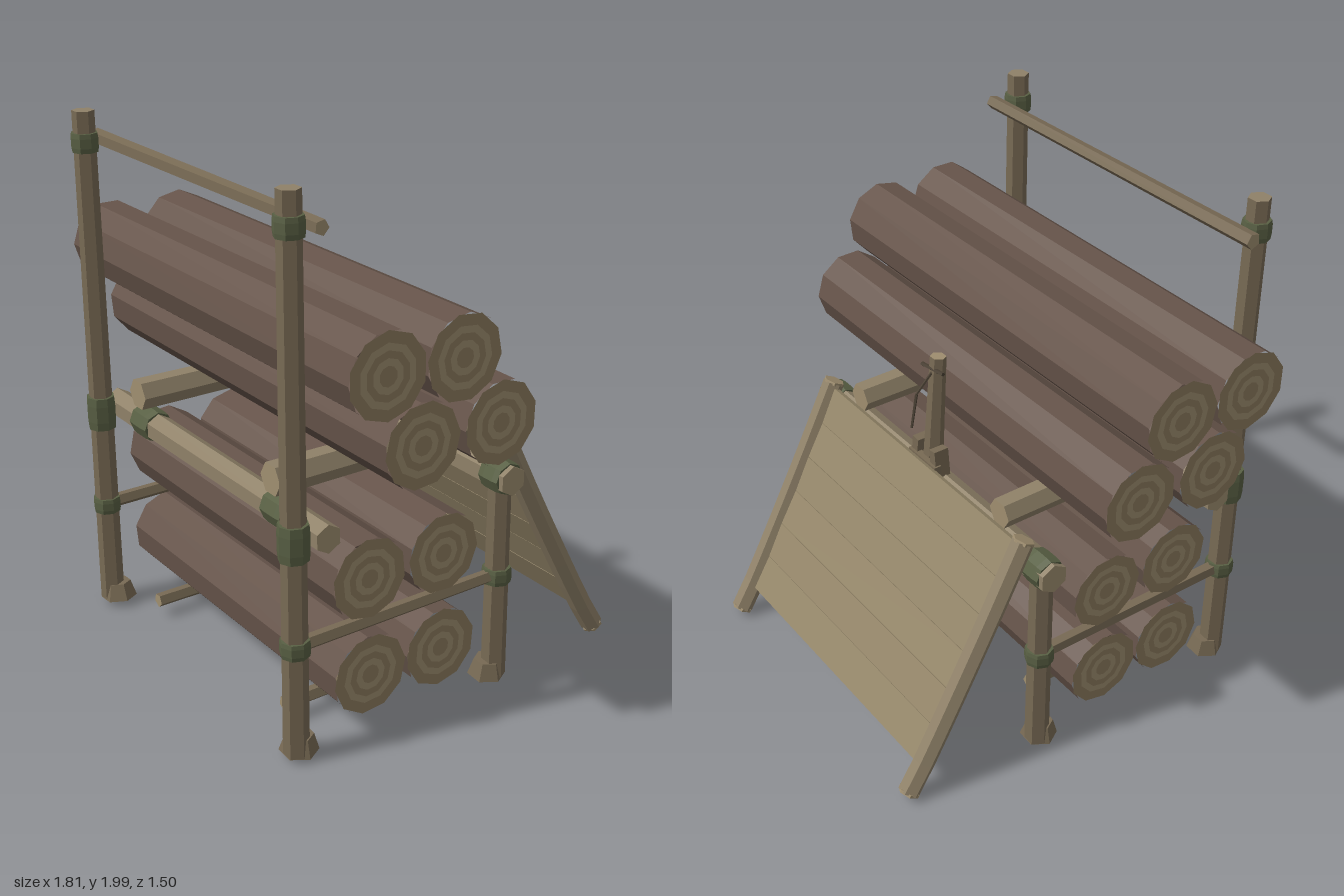
import * as THREE from 'three';

const mat = (color, side = THREE.FrontSide) => new THREE.MeshStandardMaterial({ color, flatShading: true, side });
const BARK = mat(0x66544a), POLE = mat(0x786a54), PALE = mat(0x8f8168), END = mat(0xa08f70);
const RING = mat(0x8e7d60), LASH = mat(0x596044), PLANK = mat(0x948669), DARK = mat(0x4a4033);
const UP = new THREE.Vector3(0, 1, 0);

export function createModel() {
  const model = new THREE.Group();

  const add = (name, geometry, material, parent = model) => {
    const mesh = new THREE.Mesh(geometry, material);
    mesh.name = name;
    parent.add(mesh);
    return mesh;
  };

  // faceted pole from point a to point b
  const rod = (name, a, b, r0, r1, sides, side, end = side, turn = Math.PI / 6) => {
    const A = new THREE.Vector3(...a), B = new THREE.Vector3(...b);
    const dir = B.clone().sub(A);
    const geometry = new THREE.CylinderGeometry(r1, r0, dir.length(), sides, 1, false, turn);
    const mesh = add(name, geometry, [side, end, end]);
    mesh.position.copy(A).add(B).multiplyScalar(0.5);
    mesh.quaternion.setFromUnitVectors(UP, dir.normalize());
    return mesh;
  };

  // bulging rope wrap centred on a point, along axis 'x' or 'y'
  const lashing = (name, x, y, z, radius, height, axis = 'y') => {
    const h = height / 2;
    const pts = [[radius * 0.75, -h], [radius * 0.95, -h], [radius, -h * 0.5], [radius, h * 0.5], [radius * 0.95, h], [radius * 0.75, h]];
    const mesh = add(name, new THREE.LatheGeometry(pts.map(p => new THREE.Vector2(...p)), 8), LASH);
    mesh.position.set(x, y, z);
    if (axis === 'x') mesh.rotation.z = Math.PI / 2;
  };

  // log lying along x, with growth rings on both ends
  const log = (name, y, z, half, turn) => {
    const group = new THREE.Group();
    group.name = name;
    group.position.set(0, y, z);
    group.rotation.x = turn;
    const R = 0.15, sides = 10;
    const bark = add('bark', new THREE.CylinderGeometry(R, R, half * 2, sides, 1, true), BARK, group);
    bark.rotation.z = Math.PI / 2;
    const radii = [0, 0.035, 0.06, 0.085, 0.11, R];
    for (const s of [1, -1]) {
      for (let i = 0; i < 5; i++) {
        const ring = add('logEndRing', new THREE.RingGeometry(radii[i], radii[i + 1], sides, 1, Math.PI / 2), i % 2 ? END : RING, group);
        ring.rotation.y = s * Math.PI / 2;
        ring.position.x = s * half;
      }
    }
    model.add(group);
  };

  // stacked logs: two shelves below, a pile on the deck
  [[1.435, 0.495], [1.43, 0.195], [1.17, 0.355], [1.17, 0.035]].forEach(([y, z], i) => log('deckLog', y, z, 0.905, i * 0.2));
  [[0.625, 0.41], [0.625, 0.095], [0.255, 0.405], [0.255, 0.1]].forEach(([y, z], i) => log('shelfLog', y, z, 0.7, 0.1 + i * 0.15));

  for (const s of [1, -1]) {
    const x = s * 0.665;
    // upright posts and their flared feet
    rod('frontPost', [x, 0.03, 0.69], [x, 2, 0.69], 0.046, 0.041, 6, POLE, PALE);
    rod('rearPost', [x, 0.03, -0.18], [x, 0.83, -0.18], 0.046, 0.042, 6, POLE, PALE);
    for (const z of [0.67, -0.16]) rod('postFoot', [s * 0.65, 0.03, z], [s * 0.655, 0.095, z], 0.07, 0.05, 6, POLE);

    // side rail, ground runner and deck bearer
    rod('sideRail', [x, 0.445, 0.7], [x, 0.445, -0.2], 0.028, 0.026, 5, POLE);
    rod('groundRunner', [s * 0.45, 0.075, 0.6], [s * 0.45, 0.075, -0.06], 0.028, 0.028, 5, POLE, END);
    rod('deckBearer', [s * 0.455, 0.96, 0.64], [s * 0.455, 0.955, -0.21], 0.06, 0.056, 6, PALE, END);

    // rope lashings
    lashing('frontBeamLashing', x, 0.835, 0.69, 0.056, 0.13);
    lashing('topRailLashing', x, 1.885, 0.69, 0.052, 0.07);
    lashing('frontRailLashing', x, 0.445, 0.69, 0.054, 0.06);
    lashing('rearRailLashing', x, 0.445, -0.18, 0.054, 0.06);
    lashing('rearBeamLashing', x, 0.835, -0.18, 0.063, 0.1, 'x');
    lashing('bearerLashing', s * 0.455, 0.835, 0.59, 0.062, 0.12, 'x');
  }

  // cross beams and top rail
  rod('frontBeam', [-0.72, 0.835, 0.59], [0.72, 0.835, 0.59], 0.055, 0.052, 6, PALE, END);
  rod('rearBeam', [-0.735, 0.835, -0.18], [0.735, 0.835, -0.18], 0.058, 0.056, 6, PALE, END);
  rod('topRail', [-0.73, 1.885, 0.615], [0.73, 1.88, 0.615], 0.03, 0.027, 5, POLE, END);

  // sloping lean-to at the back: curved side poles
  const slope = [[0.95, -0.228], [0.67, -0.37], [0.34, -0.545], [0.14, -0.655], [0.035, -0.72]];
  const pathAt = x => new THREE.CatmullRomCurve3(slope.map(([y, z]) => new THREE.Vector3(x, y, z)));
  for (const s of [1, -1]) {
    const path = pathAt(s * 0.62);
    add('leanToPole', new THREE.TubeGeometry(path, 8, 0.042, 6), PALE);
    for (const t of [0, 1]) {
      const cap = add('leanToPoleEnd', new THREE.CylinderGeometry(0.041, 0.041, 0.012, 6), END);
      cap.position.copy(path.getPointAt(t));
      cap.quaternion.setFromUnitVectors(UP, path.getTangentAt(t));
    }
  }

  // planks between the poles
  const mid = pathAt(0), count = 6;
  for (let i = 0; i < count; i++) {
    const t = 0.015 + (i + 0.5) * 0.88 / count;
    const tangent = mid.getTangentAt(t);
    const plank = add('leanToPlank', new THREE.BoxGeometry(1.19, 0.15, 0.022), PLANK);
    plank.position.copy(mid.getPointAt(t));
    plank.rotation.x = Math.atan2(-tangent.z, -tangent.y) + (i % 2 ? 0.02 : -0.02);
  }

  // short stake behind the pile, with wedges, peg and a bent twig
  rod('stake', [0, 0.89, -0.18], [0, 1.35, -0.15], 0.038, 0.03, 6, POLE, END);
  for (const s of [1, -1]) {
    const wedge = add('stakeWedge', new THREE.BoxGeometry(0.035, 0.11, 0.06), POLE);
    wedge.position.set(s * 0.06, 0.94, -0.19);
    wedge.rotation.z = s * 0.12;
  }
  const brace = add('stakeBrace', new THREE.BoxGeometry(0.17, 0.04, 0.03), POLE);
  brace.position.set(0, 0.92, -0.215);
  rod('stakePeg', [-0.06, 1.31, -0.17], [0.06, 1.3, -0.18], 0.008, 0.008, 5, DARK);
  const twig = [[0, 1.3, -0.17], [0.01, 1.215, -0.24], [0, 1.09, -0.27]];
  for (let i = 0; i < 2; i++) rod('twig', twig[i], twig[i + 1], 0.006, 0.005, 5, DARK);

  return model;
}
